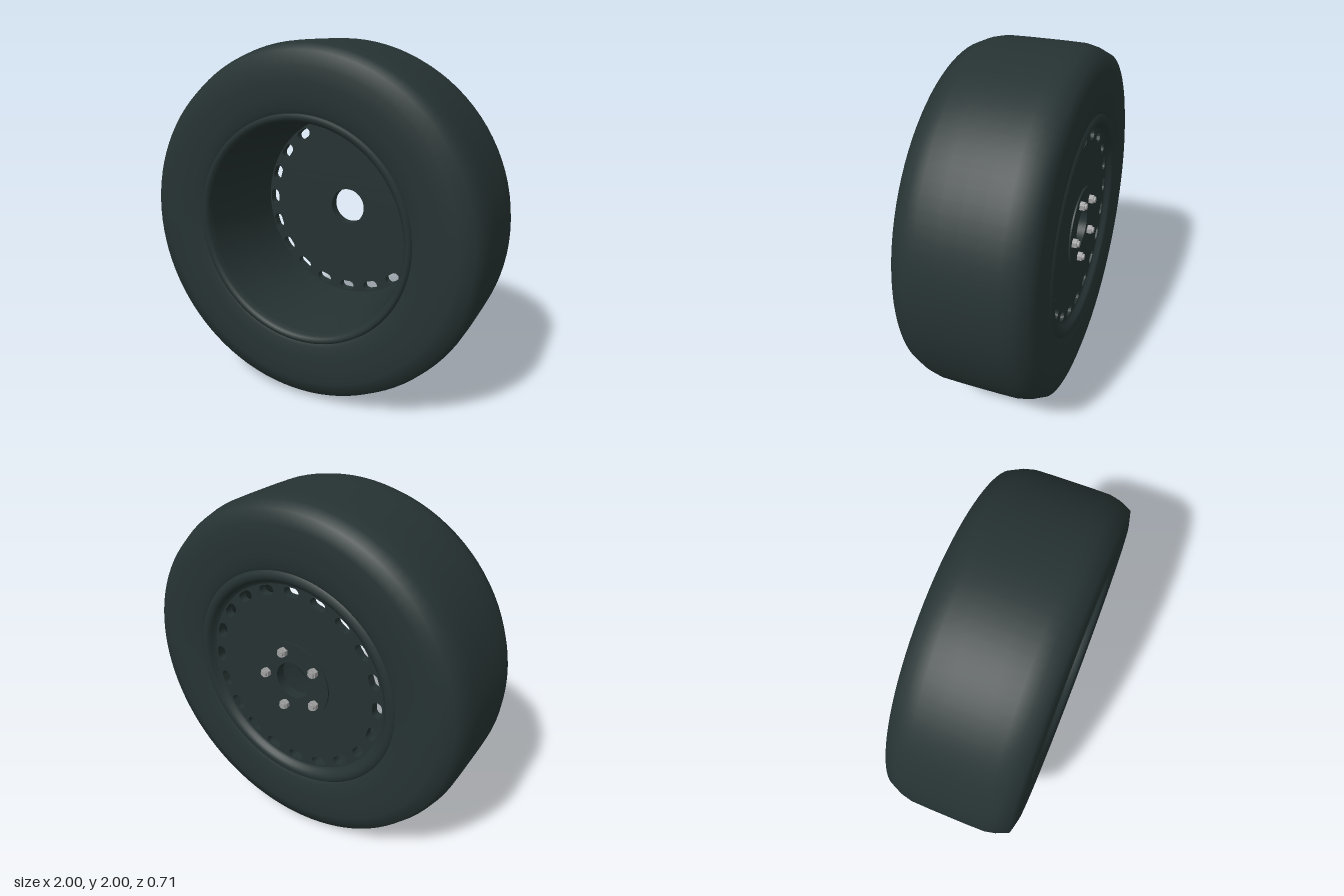
import * as THREE from 'three';

const rubber = new THREE.MeshStandardMaterial({ color: 0x263232 });
rubber.name = 'dark rubber';
const steel = new THREE.MeshStandardMaterial({ color: 0x253131, side: THREE.DoubleSide });
steel.name = 'dark steel';
const chrome = new THREE.MeshStandardMaterial({ color: 0xa0a0a0 });
chrome.name = 'grey metal';

function add(parent, name, geometry, material) {
  const mesh = new THREE.Mesh(geometry, material);
  mesh.name = name;
  parent.add(mesh);
  return mesh;
}

// Revolve [radius, z] points around the z axis
function revolve(points) {
  const profile = points.map(([r, z]) => new THREE.Vector2(r, z));
  return new THREE.LatheGeometry(profile, 96).rotateX(Math.PI / 2);
}

// Flat plate with a round centre hole, extruded along +z
function plate(radius, holeRadius, depth, extraHoles = []) {
  const shape = new THREE.Shape().absarc(0, 0, radius, 0, Math.PI * 2, false);
  shape.holes.push(new THREE.Path().absarc(0, 0, holeRadius, 0, Math.PI * 2, true), ...extraHoles);
  return new THREE.ExtrudeGeometry(shape, { depth, bevelEnabled: false, curveSegments: 48 });
}

// Rounded slot lying along the tangent at the given angle
function slot(angle, ringRadius, halfLength, halfWidth) {
  const points = [];
  for (let end = 0; end < 2; end++) {
    for (let i = 0; i <= 8; i++) {
      const a = Math.PI * (end + i / 8);
      const u = Math.cos(a) * halfWidth;
      const v = Math.sin(a) * halfWidth + (end ? -1 : 1) * (halfLength - halfWidth);
      points.push(new THREE.Vector2(ringRadius + u, v).rotateAround(new THREE.Vector2(), angle));
    }
  }
  return new THREE.Path(points.reverse());
}

export function createModel() {
  const wheel = new THREE.Group();
  wheel.name = 'wheel';
  wheel.position.y = 1;

  // Tyre: half profile mirrored across the middle
  const half = [[0.635, 0.335], [0.66, 0.347], [0.72, 0.355], [0.8, 0.357], [0.88, 0.356],
    [0.955, 0.338], [0.985, 0.27], [0.998, 0.21], [1, 0.1]];
  const mirrored = half.map(([r, z]) => [r, -z]);
  add(wheel, 'tyre', revolve([...mirrored, [1, 0], ...half.slice().reverse()]), rubber);

  // Rim: front lip, deep barrel, back lip
  add(wheel, 'rimFrontLip', revolve([[0.64, 0.335], [0.636, 0.35], [0.622, 0.355], [0.606, 0.349],
    [0.596, 0.335], [0.59, 0.31]]), steel);
  add(wheel, 'rimBarrel', revolve([[0.59, 0.31], [0.58, 0.24], [0.568, 0.1], [0.56, -0.05],
    [0.558, -0.31]]), steel);
  add(wheel, 'rimBackLip', revolve([[0.558, -0.31], [0.575, -0.318], [0.582, -0.338],
    [0.6, -0.35], [0.625, -0.35], [0.64, -0.335]]), steel);

  // Wheel disc with a ring of vent slots
  const slots = [];
  for (let i = 0; i < 20; i++) slots.push(slot(i * Math.PI / 10, 0.522, 0.047, 0.028));
  add(wheel, 'disc', plate(0.56, 0.108, 0.05, slots), steel).position.z = -0.31;

  // Raised hub pad on the back
  add(wheel, 'hubPad', plate(0.23, 0.108, 0.01), steel).position.z = -0.319;

  // Five nuts with stud tips
  for (let i = 0; i < 5; i++) {
    const a = i * Math.PI * 2 / 5;
    const bolt = new THREE.Group();
    bolt.name = 'wheelNut';
    bolt.position.set(Math.cos(a) * 0.176, Math.sin(a) * 0.176, -0.319);
    const nut = new THREE.CylinderGeometry(0.028, 0.028, 0.026, 6).toNonIndexed();
    nut.computeVertexNormals();
    add(bolt, 'nut', nut.rotateX(-Math.PI / 2), chrome).position.z = -0.013;
    add(bolt, 'stud', new THREE.CylinderGeometry(0.018, 0.018, 0.014, 16).rotateX(-Math.PI / 2), chrome).position.z = -0.031;
    wheel.add(bolt);
  }

  const model = new THREE.Group();
  model.name = 'model';
  model.add(wheel);
  return model;
}
